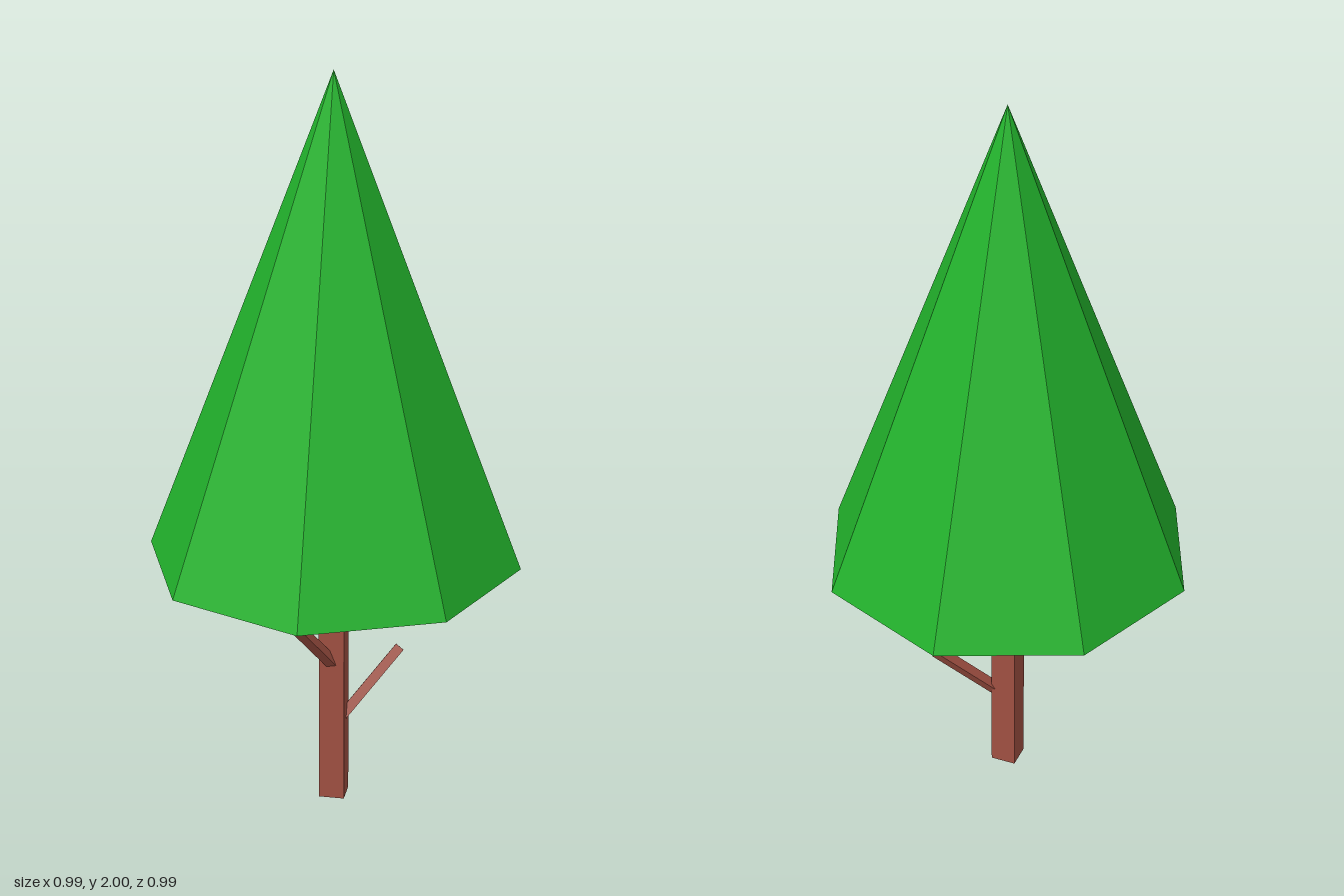
import * as THREE from 'three';

const UP = new THREE.Vector3(0, 1, 0);

function addMesh(group, name, geometry, material) {
  const mesh = new THREE.Mesh(geometry, material);
  mesh.name = name;
  group.add(mesh);
  return mesh;
}

// Square stick running from one point to another
function addBranch(group, name, from, to, width, material) {
  const a = new THREE.Vector3(...from);
  const b = new THREE.Vector3(...to);
  const length = a.distanceTo(b);
  const branch = addMesh(group, name, new THREE.BoxGeometry(width, length, width), material);
  branch.position.copy(a).lerp(b, 0.5);
  branch.quaternion.setFromUnitVectors(UP, b.sub(a).normalize());
}

export function createModel() {
  const tree = new THREE.Group();
  tree.name = 'tree';
  const bark = new THREE.MeshStandardMaterial({ color: 0xa05042, flatShading: true });
  const leaves = new THREE.MeshStandardMaterial({ color: 0x22b22c, flatShading: true });

  // Square trunk, reaching a little into the foliage
  const trunkHeight = 0.72;
  addMesh(tree, 'trunk', new THREE.BoxGeometry(0.068, trunkHeight, 0.068), bark)
    .position.y = trunkHeight / 2;

  // Two bare branches
  addBranch(tree, 'upperBranch', [0.01, 0.38, 0.005], [-0.135, 0.677, 0.23], 0.026, bark);
  addBranch(tree, 'lowerBranch', [0.01, 0.215, -0.002], [0.16, 0.397, -0.114], 0.026, bark);

  // Eight-sided foliage cone with a closed base
  const base = 0.705;
  const height = 2 - base;
  addMesh(tree, 'foliage', new THREE.ConeGeometry(0.493, height, 8), leaves)
    .position.y = base + height / 2;

  return tree;
}
